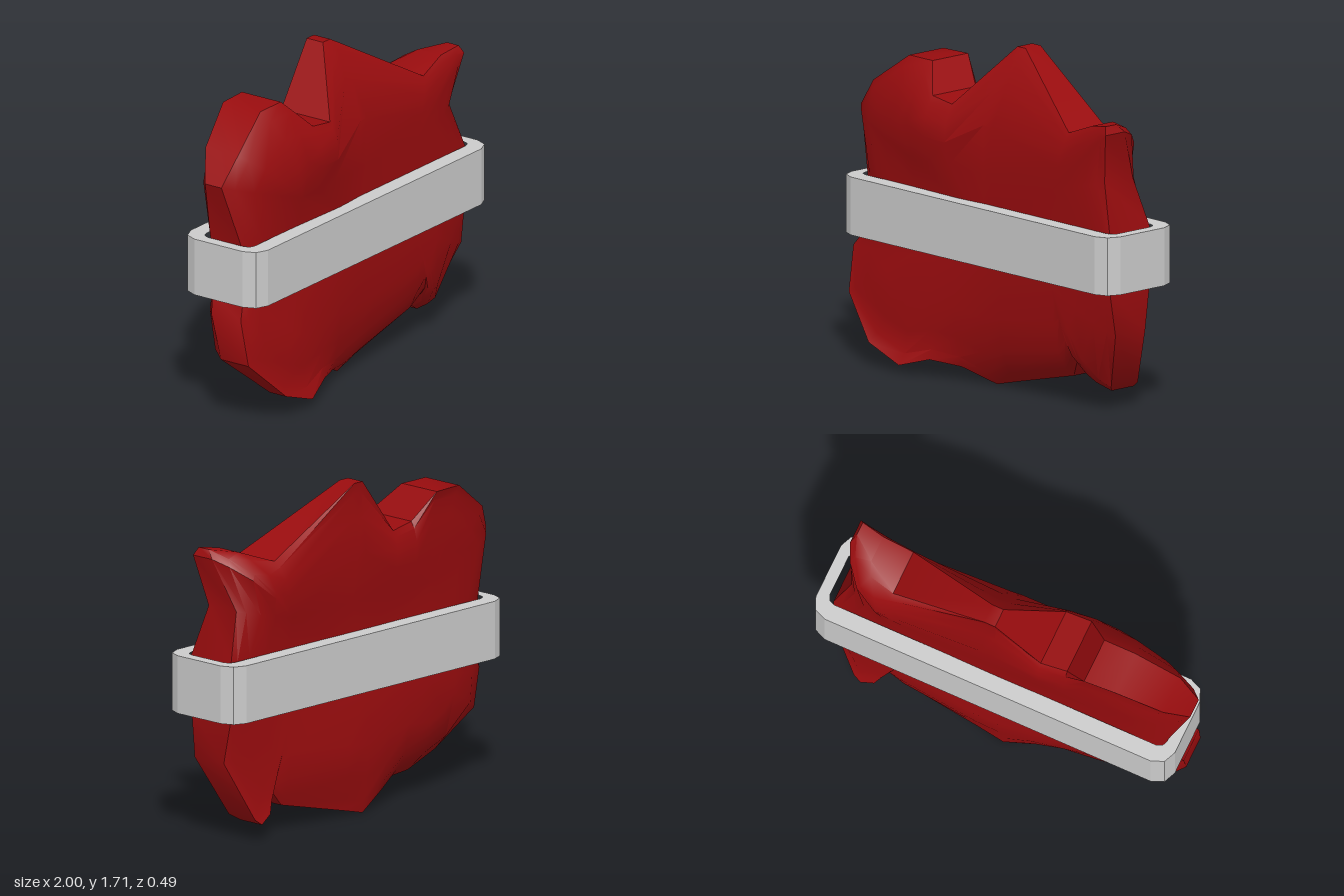
import * as THREE from 'three';
import { toCreasedNormals } from 'three/addons/utils/BufferGeometryUtils.js';

// Ragged outline, clockwise from the right-hand tip: x, y, front z, back z
const RIM = [
  [-1, 1.27, 0.04, -0.06], [-0.89, 1.41, 0.06, -0.14], [-0.66, 1.57, 0.03, -0.2],
  [-0.49, 1.57, 0.03, -0.21], [-0.37, 1.43, 0.14, -0.15], [-0.23, 1.41, 0.14, -0.16],
  [0.01, 1.71, -0.08, -0.18], [0.07, 1.71, -0.08, -0.18], [0.59, 1.4, 0.11, -0.13],
  [0.75, 1.46, 0.1, -0.04], [0.87, 1.48, 0.12, 0.05], [0.89, 1.44, 0.14, 0.01],
  [0.83, 1.18, 0.09, -0.1], [0.91, 0.94, 0.13, -0.14], [0.91, 0.65, 0.13, -0.14],
  [0.92, 0.42, 0.1, -0.1], [0.78, 0.12, 0, -0.18], [0.74, 0.09, -0.04, -0.19],
  [0.67, 0.13, -0.02, -0.18], [0.62, 0.24, 0.08, -0.13], [0.53, 0.14, 0.02, -0.12],
  [0.12, 0.04, 0.02, -0.14], [-0.02, 0.005, 0.03, -0.15], [-0.18, 0.08, 0.12, -0.12],
  [-0.34, 0.1, 0.19, -0.01], [-0.51, 0.05, 0.24, 0.14], [-0.73, 0.13, 0.24, 0.14],
  [-0.95, 0.34, 0.17, 0], [-0.96, 0.57, 0.13, -0.05], [-0.9, 0.66, 0.1, -0.09],
  [-0.9, 0.94, 0.09, -0.1],
];

const bump = (x, y, cx, cy, rx, ry) => Math.exp(-(((x - cx) / rx) ** 2) - ((y - cy) / ry) ** 2);

// Depth of the broad faces: pinched at the band, swelling above and below it
const frontZ = (x, y) => 0.14 + 0.07 * bump(x, y, -0.4, 1.27, 0.35, 0.2)
  + 0.06 * bump(x, y, -0.5, 0.36, 0.4, 0.2) - 0.09 * bump(x, y, 0.05, 1.62, 0.25, 0.16);
const backZ = (x, y) => -0.15 - 0.055 * bump(x, y, 0, 1.35, 0.9, 0.25)
  - 0.03 * bump(x, y, 0.7, 1.25, 0.15, 0.15)
  - 0.05 * bump(x, y, 0.1, 0.34, 0.4, 0.2);

// One ring of the shell, moved from the outline (t = 0) towards an inner rectangle (t = 1)
function ring(t, blend, faceZ, column) {
  return RIM.map((p) => {
    const x = THREE.MathUtils.lerp(p[0], THREE.MathUtils.clamp(p[0], -0.5, 0.5), t);
    const y = THREE.MathUtils.lerp(p[1], THREE.MathUtils.clamp(p[1], 0.6, 1.1), t);
    return [x, y, THREE.MathUtils.lerp(p[column], faceZ(x, y), blend)];
  });
}

function bundleGeometry() {
  const steps = [[1, 1], [0.6, 1], [0.3, 0.85], [0.1, 0.45], [0, 0]];
  const center = (faceZ) => RIM.map(() => [0, 0.82, faceZ(0, 0.82)]);
  const rings = [
    center(frontZ),
    ...steps.map(([t, blend]) => ring(t, blend, frontZ, 2)),
    ...steps.slice().reverse().map(([t, blend]) => ring(t, blend, backZ, 3)),
    center(backZ),
  ];
  const n = RIM.length;
  const index = [];
  for (let r = 0; r < rings.length - 1; r++) {
    for (let i = 0; i < n; i++) {
      const j = (i + 1) % n;
      const a = r * n + i, b = r * n + j, c = (r + 1) * n + j, d = (r + 1) * n + i;
      // The first and last rings are single points, so one triangle each
      if (r > 0) index.push(a, b, c);
      if (r < rings.length - 2) index.push(a, c, d);
    }
  }
  const geometry = new THREE.BufferGeometry();
  geometry.setAttribute('position', new THREE.Float32BufferAttribute(rings.flat(2), 3));
  geometry.setIndex(index);
  return toCreasedNormals(geometry, 0.65);
}

// Rectangle with two-step chamfered corners; y of the shape becomes -z
function bandLoop(PathType, halfX, halfZ, c) {
  const corner = [[0, c], [0.3 * c, 0.3 * c], [c, 0]];
  const points = [];
  for (const [sx, sz] of [[-1, -1], [-1, 1], [1, 1], [1, -1]]) {
    const local = corner.map(([x, z]) => new THREE.Vector2(sx * (halfX - x), sz * (halfZ - z)));
    points.push(...(sx * sz > 0 ? local.reverse() : local));
  }
  return new PathType(points);
}

function bandGeometry() {
  const shape = bandLoop(THREE.Shape, 0.98, 0.238, 0.09);
  shape.holes.push(bandLoop(THREE.Path, 0.92, 0.15, 0.04));
  const geometry = new THREE.ExtrudeGeometry(shape, { depth: 0.295, bevelEnabled: false });
  geometry.rotateX(-Math.PI / 2);
  geometry.translate(0.02, 0.65, -0.007);
  return geometry;
}

export function createModel() {
  const group = new THREE.Group();

  // Crumpled red bundle
  const bundle = new THREE.Mesh(bundleGeometry(), new THREE.MeshStandardMaterial({ color: 0x990c0e }));
  bundle.name = 'bundle';

  // Grey band around the middle
  const band = new THREE.Mesh(bandGeometry(), new THREE.MeshStandardMaterial({ color: 0xcccccc }));
  band.name = 'band';

  group.add(bundle, band);
  return group;
}
